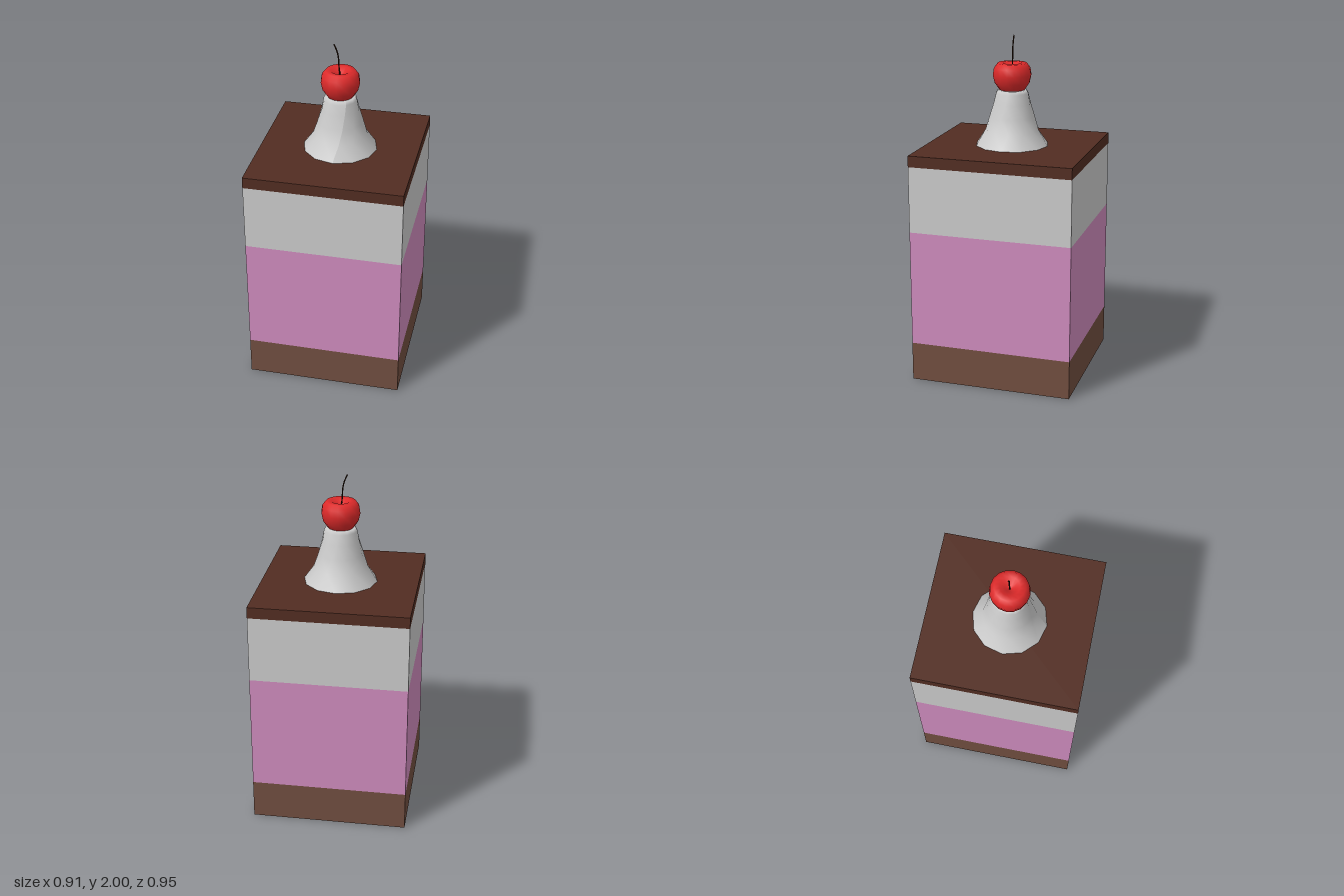
import * as THREE from 'three';

const paint = (color) => new THREE.MeshStandardMaterial({ color });

export function createModel() {
  const group = new THREE.Group();
  const add = (name, geometry, material) => {
    const mesh = new THREE.Mesh(geometry, material);
    mesh.name = name;
    group.add(mesh);
    return mesh;
  };
  const lathe = (points, sides) =>
    new THREE.LatheGeometry(points.map(([r, y]) => new THREE.Vector2(r, y)), sides);

  // Stacked cake layers: name, bottom, top, colour
  const layers = [
    ['baseLayer', 0, 0.23, 0x714e40],
    ['pinkLayer', 0.23, 0.913, 0xcf8cbe],
    ['creamLayer', 0.913, 1.3, 0xcccccc],
    ['glazeLayer', 1.3, 1.365, 0x522d22],
  ];
  for (const [name, bottom, top, color] of layers) {
    add(name, new THREE.BoxGeometry(0.906, top - bottom, 0.954), paint(color))
      .position.y = (bottom + top) / 2;
  }

  // Whipped cream: a 12-sided flared mound, each ring twisted a little further
  const cream = lathe([
    [0.214, 1.365], [0.157, 1.45], [0.132, 1.53], [0.109, 1.61],
    [0.096, 1.67], [0.085, 1.688], [0, 1.69],
  ], 12);
  const p = cream.attributes.position;
  const up = new THREE.Vector3(0, 1, 0);
  const v = new THREE.Vector3();
  for (let i = 0; i < p.count; i++) {
    v.fromBufferAttribute(p, i);
    v.applyAxisAngle(up, (v.y - 1.365) * 1.8);
    p.setXYZ(i, v.x, v.y, v.z);
  }
  cream.computeVertexNormals();
  add('whippedCream', cream, paint(0xcccccc));

  // Cherry with a dimple in the top
  add('cherry', lathe([
    [0, 1.666], [0.04, 1.672], [0.075, 1.69], [0.102, 1.73], [0.112, 1.775],
    [0.106, 1.815], [0.085, 1.843], [0.055, 1.844], [0.025, 1.822], [0, 1.805],
  ], 16), paint(0xdd2a2a));

  // Bent stem
  const stemPath = new THREE.CatmullRomCurve3([
    [0, 1.8], [-0.007, 1.85], [-0.012, 1.925], [-0.022, 1.965], [-0.037, 1.998],
  ].map(([x, y]) => new THREE.Vector3(x, y, 0)));
  const stemMaterial = paint(0x2a1508);
  stemMaterial.side = THREE.DoubleSide;
  add('stem', new THREE.TubeGeometry(stemPath, 10, 0.004, 6), stemMaterial);

  return group;
}
